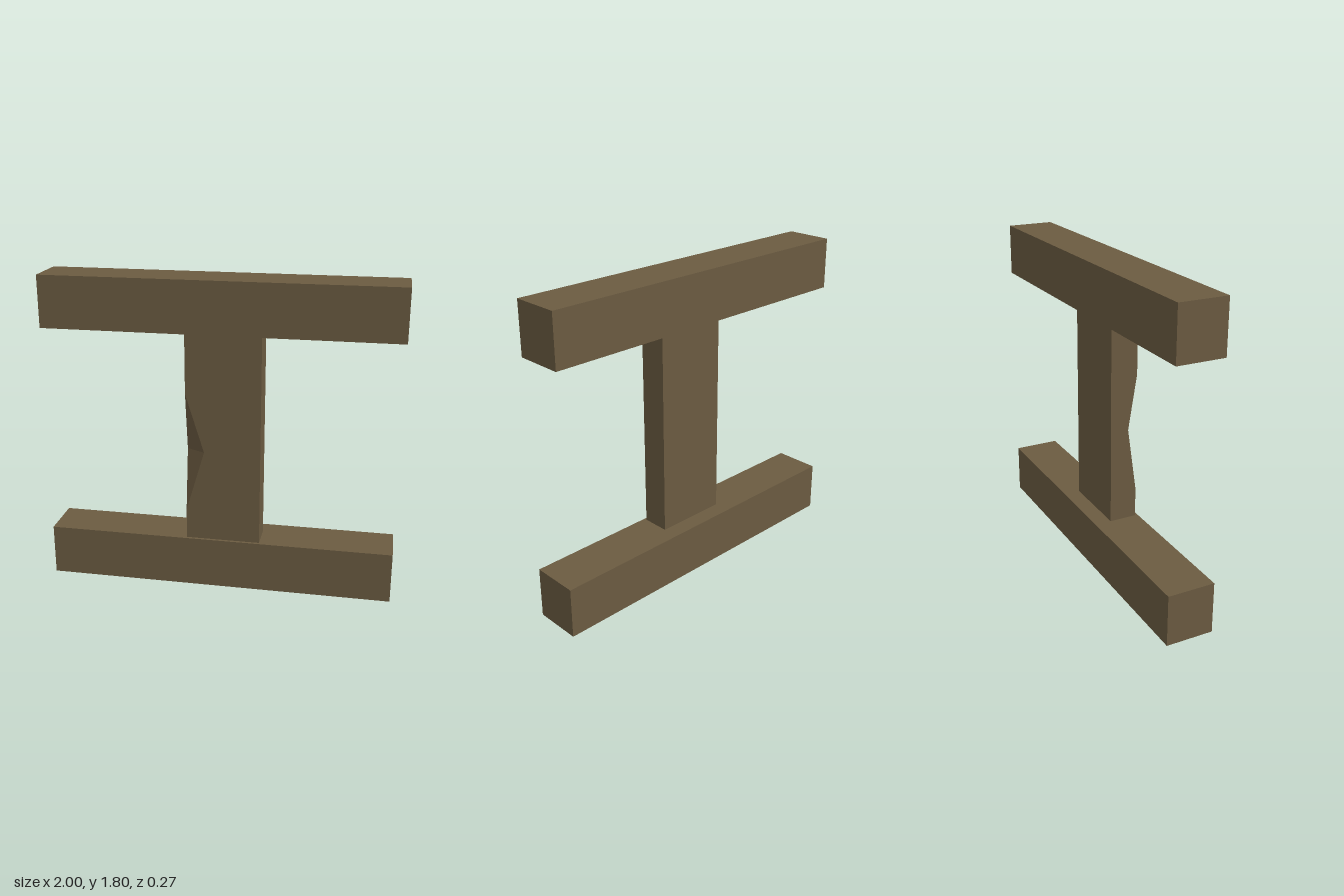
import * as THREE from 'three';

const wood = new THREE.MeshStandardMaterial({ color: 0x6b5b41 });
wood.name = 'brown wood';

// Square-cut post whose front corner on the -x side has a shallow chip
function postGeometry() {
  const x0 = -0.185, x1 = 0.24, z0 = -0.04, z1 = 0.12;
  // [height, chip width across the front, chip depth along the side]
  const levels = [[0.295, 0, 0], [0.47, 0, 0], [0.83, 0.105, 0.055], [1.17, 0, 0], [1.51, 0, 0]];
  const rings = levels.map(([y, w, d]) => [
    [x0, z0], [x1, z0], [x1, z1], [x0 + w, z1], [x0, z1 - d],
  ].map(([x, z]) => new THREE.Vector3(x, y, z)));

  const points = [];
  const tri = (a, b, c) => {
    // collapsed triangles occur where the chip has no width
    if (a.equals(b) || b.equals(c) || c.equals(a)) return;
    points.push(a, b, c);
  };

  for (let r = 0; r < rings.length - 1; r++) {
    const low = rings[r], high = rings[r + 1];
    for (let i = 0; i < 5; i++) {
      const j = (i + 1) % 5;
      tri(low[j], low[i], high[i]);
      tri(low[j], high[i], high[j]);
    }
  }

  // End caps
  const bottom = rings[0], top = rings[rings.length - 1];
  for (let i = 1; i < 4; i++) {
    tri(bottom[0], bottom[i], bottom[i + 1]);
    tri(top[0], top[i + 1], top[i]);
  }

  const geometry = new THREE.BufferGeometry().setFromPoints(points);
  geometry.computeVertexNormals();
  return geometry;
}

export function createModel() {
  const model = new THREE.Group();
  model.name = 'woodenBeamFrame';

  // Matching lower and upper beams
  const beamGeometry = new THREE.BoxGeometry(2, 0.295, 0.272);
  for (const [name, y] of [['lowerBeam', 0.1475], ['upperBeam', 1.6575]]) {
    const beam = new THREE.Mesh(beamGeometry, wood);
    beam.name = name;
    beam.position.y = y;
    model.add(beam);
  }

  // Chipped post between the beams
  const post = new THREE.Mesh(postGeometry(), wood);
  post.name = 'chippedPost';
  model.add(post);

  return model;
}
